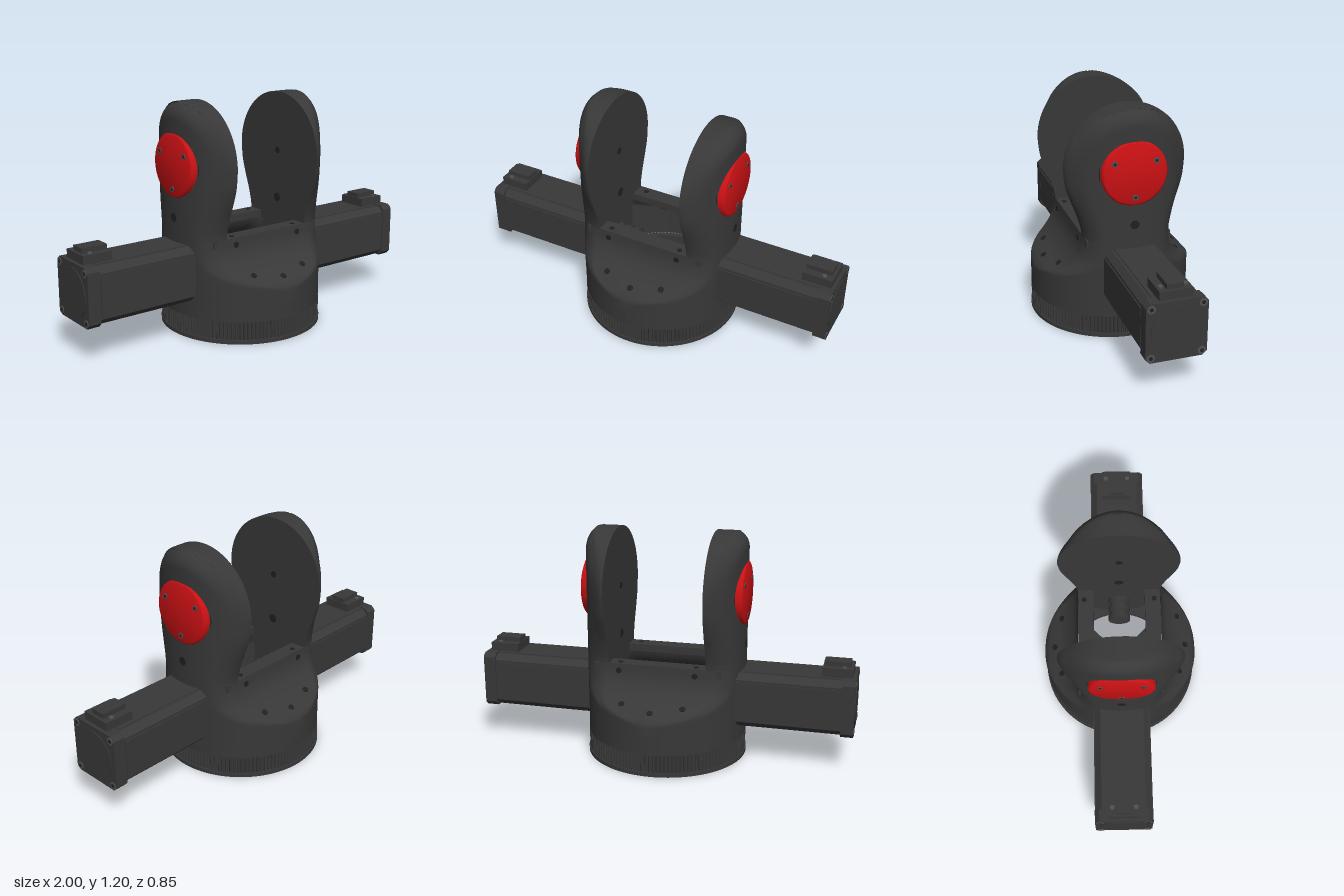
import * as THREE from 'three';
import { toCreasedNormals } from 'three/addons/utils/BufferGeometryUtils.js';

const R = 0.42, SLOT = 0.255, FLOOR = 0.52, HUB_Y = 0.88, ARM_R = 0.315, MOTOR_Y = 0.343;
const dark = new THREE.MeshStandardMaterial({ color: 0x383838 });
const shell = new THREE.MeshStandardMaterial({ color: 0x383838, side: THREE.DoubleSide });
const black = new THREE.MeshStandardMaterial({ color: 0x202020 });
const steel = new THREE.MeshStandardMaterial({ color: 0x505050 });
const red = new THREE.MeshStandardMaterial({ color: 0xcc1114 });

const V = (x, y) => new THREE.Vector2(x, y);

function add(parent, name, geometry, material, x = 0, y = 0, z = 0) {
  const mesh = new THREE.Mesh(geometry, material);
  mesh.name = name;
  mesh.position.set(x, y, z);
  parent.add(mesh);
  return mesh;
}

const extrude = (shape, depth) =>
  new THREE.ExtrudeGeometry(shape, { depth, bevelEnabled: false, curveSegments: 48 });
// Shape lying flat, thickness upward
const slab = (shape, depth) => extrude(shape, depth).rotateX(-Math.PI / 2);
// Shape in the z-y plane, thickness along +x
const bar = (shape, depth) => extrude(shape, depth).rotateY(Math.PI / 2);
const cylX = (r, len, seg = 24) => new THREE.CylinderGeometry(r, r, len, seg).rotateZ(-Math.PI / 2);

function circle(r, x = 0, y = 0, Type = THREE.Path) {
  const p = new Type();
  p.absarc(x, y, r, 0, Math.PI * 2, false);
  return p;
}

// Square with cut corners
function chamferSquare(h, c) {
  return new THREE.Shape([V(h, c - h), V(h, h - c), V(h - c, h), V(c - h, h),
    V(-h, h - c), V(-h, c - h), V(c - h, -h), V(h - c, -h)]);
}

// Half-width profile of the housing: x = half width, y = height
const lower = [V(0.42, 0.115), V(0.42, 0.19), ...new THREE.SplineCurve([
  V(0.42, 0.25), V(0.412, 0.277), V(0.385, 0.302), V(0.31, 0.347), V(0.257, 0.405),
  V(0.233, 0.46), V(0.225, FLOOR)]).getPoints(36)];
const upper = new THREE.SplineCurve([
  V(0.225, FLOOR), V(0.23, 0.56), V(0.25, 0.63), V(0.28, 0.71), V(0.305, 0.79),
  V(ARM_R, HUB_Y)]).getPoints(30);
for (let i = 1; i <= 28; i++) {
  const a = (i / 28) * Math.PI / 2;
  upper.push(V(ARM_R * Math.cos(a), HUB_Y + ARM_R * Math.sin(a)));
}
const edge = [...lower, ...upper];

// Skin of a round column trimmed to the profile, with a softened rim
function housingSkin(rows, inner, closed) {
  const cols = 40, pos = [], idx = [];
  const n = cols + 3 + (closed ? 1 : 0);
  for (const { x: w, y } of rows) {
    pos.push(inner, y, -w);
    for (let j = 0; j <= cols; j++) {
      const z = w * Math.sin((j / cols - 0.5) * Math.PI);
      const c = Math.sqrt(Math.max(0, R * R - z * z));
      let d = 1;
      for (const p of edge) d = Math.min(d, Math.hypot(p.x - Math.abs(z), p.y - y));
      const r = Math.min(0.08, Math.max(0, c - inner)) * THREE.MathUtils.smoothstep(y, 0.25, 0.42);
      const k = r - Math.min(d, r);
      pos.push(Math.max(inner, c - r + Math.sqrt(r * r - k * k)), y, z);
    }
    pos.push(inner, y, w);
    if (closed) pos.push(inner, y, -w);
  }
  for (let i = 0; i < rows.length - 1; i++) {
    for (let j = 0; j < n - 1; j++) {
      const a = i * n + j, b = a + 1, c = a + n, e = c + 1;
      idx.push(a, c, b, b, c, e);
    }
  }
  const g = new THREE.BufferGeometry();
  g.setAttribute('position', new THREE.Float32BufferAttribute(pos, 3));
  g.setIndex(idx);
  return toCreasedNormals(g, 0.6);
}

// One side: half of the housing, arm, pivot cap and motor, built toward +x
function buildSide() {
  const side = new THREE.Group();
  add(side, 'housingHalf', housingSkin(lower, 0, false), shell);
  add(side, 'arm', housingSkin(upper, SLOT, true), shell);

  // Pivot cap with three screws
  const cap = new THREE.LatheGeometry([V(0.165, 0.34), V(0.165, 0.415), V(0.161, 0.42),
    V(0.152, 0.424), V(0, 0.426)], 64).rotateZ(-Math.PI / 2);
  add(side, 'pivotCap', toCreasedNormals(cap, 0.7), red, 0, HUB_Y, 0);
  add(side, 'pivotCapSeat', cylX(0.172, 0.05, 64), black, 0.36, HUB_Y, 0);
  for (const [y, z] of [[0.94, 0.105], [0.94, -0.105], [0.76, 0]]) {
    add(side, 'capScrew', cylX(0.015, 0.02), steel, 0.418, y, z);
    add(side, 'capScrewSocket', cylX(0.008, 0.02, 6), black, 0.419, y, z);
  }
  add(side, 'armOuterHole', cylX(0.023, 0.02), black, 0.411, 0.615, 0);
  add(side, 'armInnerHole', cylX(0.018, 0.01), black, SLOT + 0.003, HUB_Y, 0);
  add(side, 'armInnerHole', cylX(0.024, 0.01), black, SLOT + 0.003, 0.62, 0);

  // Motor: ribbed body, end plate, screws, connector and shaft coupling
  const motor = new THREE.Group();
  motor.name = 'motor';
  motor.position.y = MOTOR_Y;
  side.add(motor);
  add(motor, 'motorBody', bar(chamferSquare(0.143, 0.03), 0.66), dark, 0.27, 0, 0);
  for (const s of [1, -1]) {
    add(motor, 'motorRib', new THREE.BoxGeometry(0.655, 0.295, 0.2), dark, 0.5975, 0, 0);
    add(motor, 'motorRib', new THREE.BoxGeometry(0.655, 0.2, 0.012), dark, 0.5975, 0, s * 0.143);
    for (const t of [1, -1]) {
      add(motor, 'motorScrew', cylX(0.02, 0.02), steel, 0.988, s * 0.123, t * 0.123);
      add(motor, 'motorScrewSocket', cylX(0.01, 0.02, 6), black, 0.9895, s * 0.123, t * 0.123);
    }
  }
  add(motor, 'motorEndPlate', bar(chamferSquare(0.149, 0.022), 0.065), dark, 0.93, 0, 0);
  add(motor, 'motorEndDisc', cylX(0.125, 0.01, 48), dark, 0.994, 0, 0);
  add(motor, 'connectorBase', new THREE.BoxGeometry(0.155, 0.05, 0.16), dark, 0.9, 0.168, 0);
  add(motor, 'connectorTop', new THREE.BoxGeometry(0.135, 0.03, 0.08), dark, 0.895, 0.203, 0);
  for (const z of [0.06, -0.06])
    add(motor, 'connectorScrew', new THREE.CylinderGeometry(0.012, 0.012, 0.02, 16), steel, 0.93, 0.19, z);
  for (let i = 0; i < 5; i++)
    add(motor, 'shaftCoupling', cylX(i % 2 ? 0.052 : 0.06, 0.025), dark, 0.155 + i * 0.025, 0, 0);
  return side;
}

// Bottom plate with four sector openings and bolt holes
function basePlate() {
  const plate = circle(0.425, 0, 0, THREE.Shape);
  plate.holes.push(circle(0.032));
  for (let i = 0; i < 4; i++) {
    const a = i * Math.PI / 2, hole = new THREE.Path();
    hole.absarc(0, 0, 0.31, a - 0.66, a + 0.66, false);
    hole.absarc(0, 0, 0.1, a + 0.4, a - 0.4, true);
    hole.closePath();
    plate.holes.push(hole);
  }
  for (const a of [0.46, 0, -0.46])
    for (const s of [1, -1])
      plate.holes.push(circle(0.012, 0.36 * Math.sin(a), s * 0.36 * Math.cos(a)));
  return slab(plate, 0.02);
}

// Ring with fine teeth round the outside
function knurledRing() {
  const pts = [], teeth = 130;
  for (let i = 0; i < teeth * 4; i++) {
    const a = (i / (teeth * 4)) * Math.PI * 2, r = i % 4 < 2 ? 0.421 : 0.411;
    pts.push(V(r * Math.cos(a), r * Math.sin(a)));
  }
  const ring = new THREE.Shape(pts);
  ring.holes.push(circle(0.385));
  return slab(ring, 0.1);
}

// Bridge between the arms, with an opening into the base
function bridgeFloor() {
  const a = Math.asin(0.222 / R), floor = new THREE.Shape();
  const r = R - 0.09;
  floor.moveTo(r, -0.222);
  for (const [x, y] of [[r, 0.222], [-r, 0.222], [-r, -0.222]]) floor.lineTo(x, y);
  floor.closePath();
  floor.holes.push(new THREE.Path([V(-SLOT, -0.14), V(-SLOT, 0.14), V(SLOT, 0.14), V(SLOT, -0.14)]));
  return slab(floor, 0.04);
}

export function createModel() {
  const model = new THREE.Group();
  model.name = 'motorizedFork';

  add(model, 'basePlate', basePlate(), dark);
  add(model, 'knurledRing', knurledRing(), dark, 0, 0.018, 0);
  add(model, 'bridgeFloor', bridgeFloor(), dark, 0, FLOOR - 0.04, 0);

  for (let i = 0; i < 2; i++) {
    const side = buildSide();
    side.name = i ? 'rightSide' : 'leftSide';
    side.rotation.y = i * Math.PI;
    model.add(side);
  }

  // Bolt holes on both shoulders and on the bridge
  for (const s of [1, -1]) {
    for (const [x, y, z] of [[-0.16, 0.336, 0.32], [0, 0.313, 0.36], [0.16, 0.336, 0.32]]) {
      const hole = add(model, 'shoulderHole', new THREE.CylinderGeometry(0.016, 0.016, 0.012, 20), black, x, y, s * z);
      hole.rotation.x = s * 0.55;
    }
    for (const x of [-0.2, 0.2]) {
      add(model, 'bridgeHole', new THREE.CylinderGeometry(0.013, 0.013, 0.006, 20), black, x, FLOOR, s * 0.19);
      const hole = add(model, 'bridgeFaceHole', new THREE.CylinderGeometry(0.015, 0.015, 0.01, 20), black, x, 0.485, s * 0.227);
      hole.rotation.x = Math.PI / 2;
    }
  }
  return model;
}
